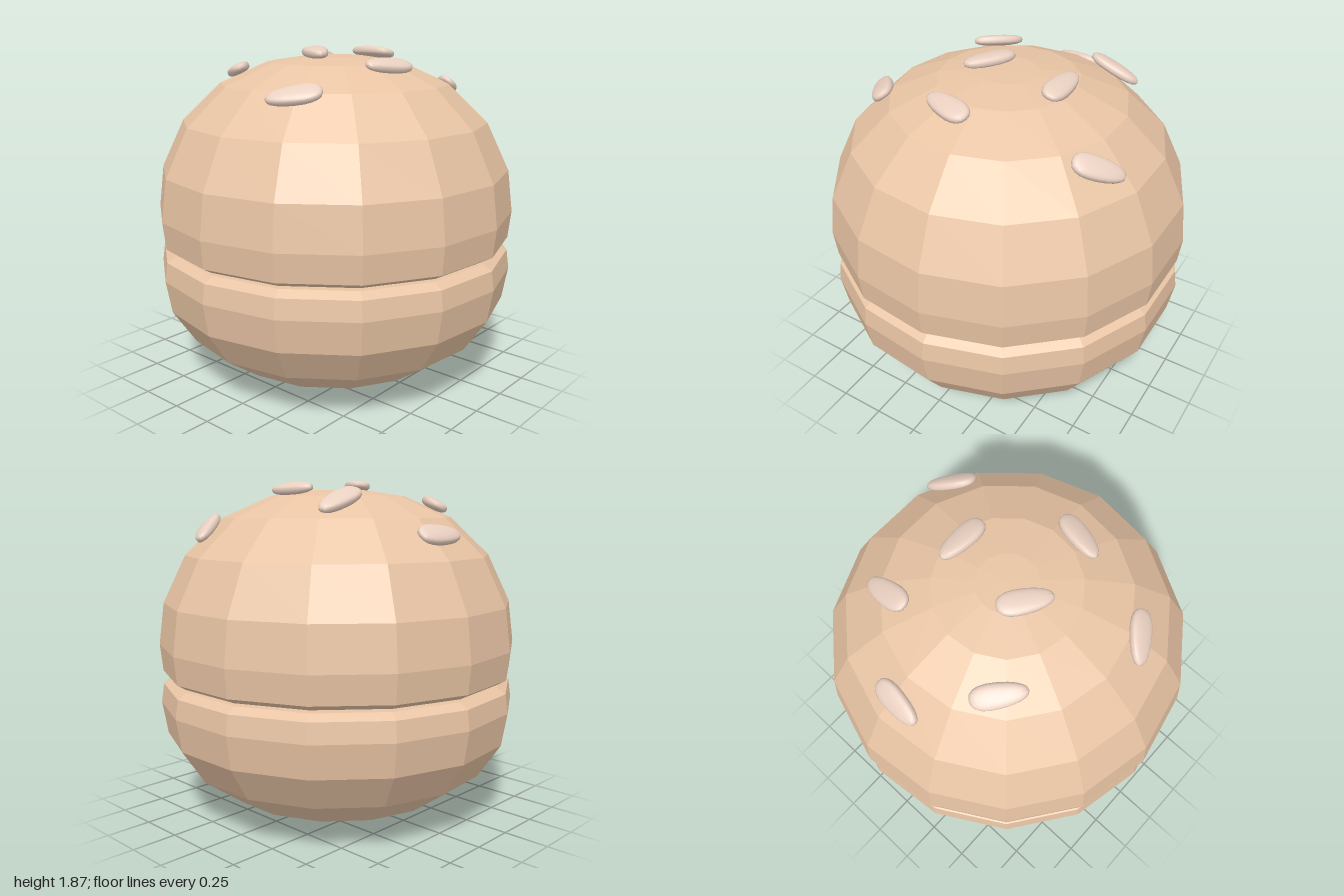
import * as THREE from 'three';

const SIDES = 15;
const Z_SHIFT = -0.011; // an odd-sided ring needs a nudge to be centred

const bunMaterial = new THREE.MeshStandardMaterial({ color: 0xe8c4a4, flatShading: true });
const seedMaterial = new THREE.MeshStandardMaterial({ color: 0xe8cfc0 });

// Faceted, closed body of revolution from [radius, height] pairs, bottom to top
function bun(name, profile) {
  const points = profile.map(([r, y]) => new THREE.Vector2(r, y));
  const mesh = new THREE.Mesh(new THREE.LatheGeometry(points, SIDES), bunMaterial);
  mesh.name = name;
  mesh.position.z = Z_SHIFT;
  return mesh;
}

// Flattened, boxy ellipsoid, long in x and tapering towards -x
function seedGeometry() {
  const geometry = new THREE.SphereGeometry(1, 20, 12);
  const p = geometry.attributes.position;
  const fuller = (v, power) => Math.sign(v) * Math.abs(v) ** power;
  for (let i = 0; i < p.count; i++) {
    const x = fuller(p.getX(i), 0.85);
    const taper = 0.9 + 0.18 * x;
    p.setXYZ(i, x * 0.143, fuller(p.getY(i), 0.7) * 0.03, fuller(p.getZ(i), 0.85) * 0.07 * taper);
  }
  geometry.computeVertexNormals();
  return geometry;
}

// Seed lying on the crown: centre, and heading of its blunt end seen from above
function seed(geometry, [x, y, z, dx, dz]) {
  const normal = new THREE.Vector3(x, (y - 0.97) / 0.714, z).normalize();
  const along = new THREE.Vector3(dx, 0, dz).projectOnPlane(normal);
  along.y = -(normal.x * dx + normal.z * dz) / normal.y;
  along.x = dx;
  along.z = dz;
  along.normalize();
  const across = new THREE.Vector3().crossVectors(along, normal);
  const mesh = new THREE.Mesh(geometry, seedMaterial);
  mesh.name = 'seed';
  mesh.quaternion.setFromRotationMatrix(new THREE.Matrix4().makeBasis(along, normal, across));
  mesh.position.set(x, y, z);
  return mesh;
}

export function createModel() {
  const model = new THREE.Group();
  model.name = 'seededBun';

  model.add(bun('bottomBun', [
    [0, 0], [0.15, 0.005], [0.375, 0.03], [0.635, 0.115], [0.85, 0.27],
    [0.975, 0.46], [1.005, 0.64], [0.99, 0.745], [0.94, 0.775], [0, 0.775],
  ]));
  model.add(bun('topBun', [
    [0, 0.79], [0.94, 0.79], [0.99, 0.82], [1.005, 0.97], [0.975, 1.2],
    [0.85, 1.46], [0.635, 1.665], [0.375, 1.78], [0.16, 1.812], [0, 1.815],
  ]));

  // Seeds scattered over the crown
  const seeds = new THREE.Group();
  seeds.name = 'seeds';
  const geometry = seedGeometry();
  const layout = [
    [0.3, 1.61, -0.69, 0.16, 0.21],
    [-0.41, 1.757, -0.42, 0.02, 1],
    [0.02, 1.82, -0.33, 1, 0.02],
    [-0.745, 1.585, -0.05, 0.1, -1],
    [-0.02, 1.835, 0.12, -0.23, -0.16],
    [0.435, 1.782, 0.07, 0.07, -0.26],
    [-0.42, 1.738, 0.32, -0.22, -0.18],
    [0.275, 1.662, 0.61, 0.22, -0.17],
  ];
  for (const entry of layout) seeds.add(seed(geometry, entry));
  model.add(seeds);

  return model;
}
